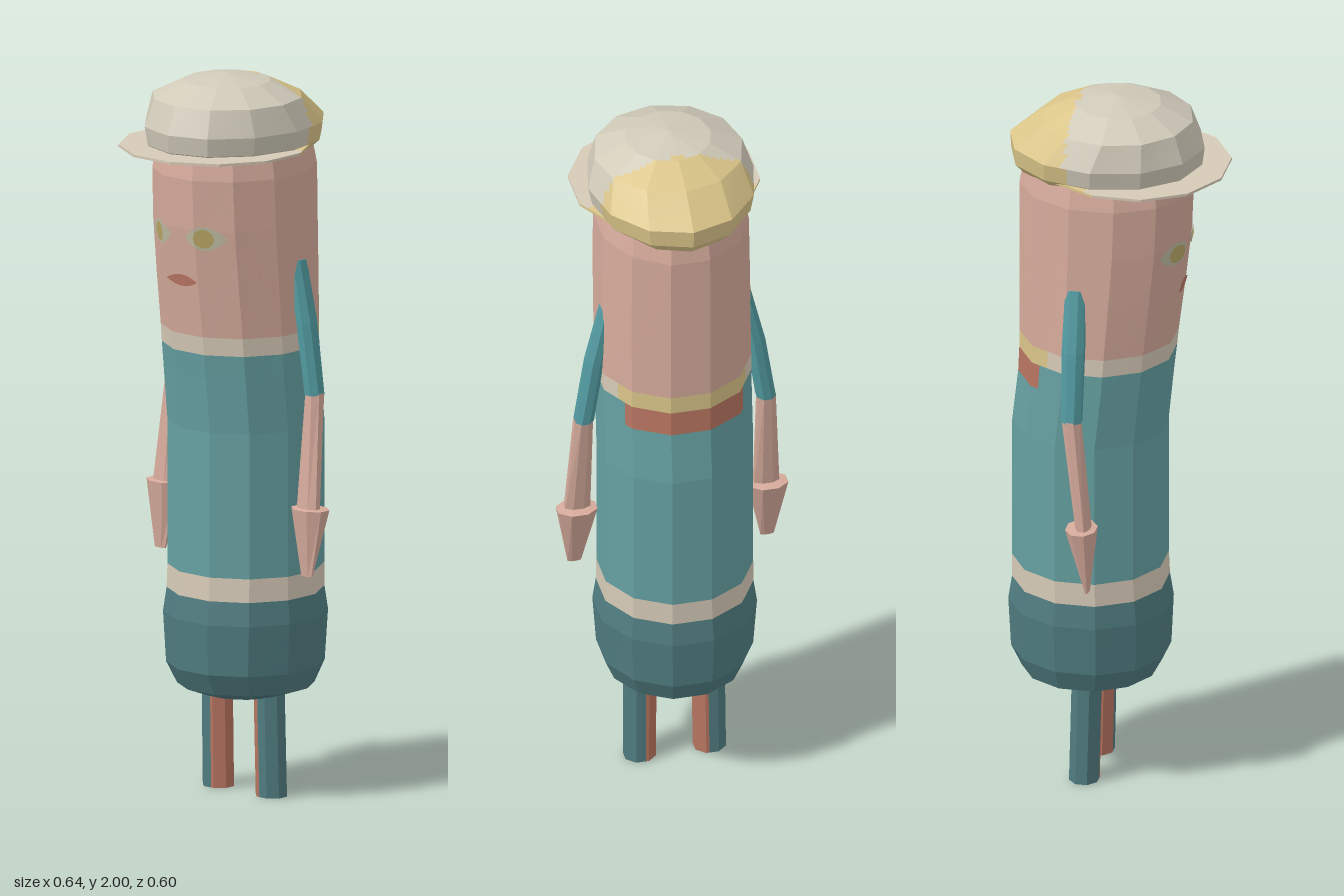
import * as THREE from 'three';

const mat = (name, color) => Object.assign(new THREE.MeshStandardMaterial({ color, side: THREE.DoubleSide }), { name });
const M = {
  skin: mat('skin', 0xd6ab9c),
  teal: mat('teal shirt', 0x66a0a2),
  sleeve: mat('sleeve teal', 0x529ba1),
  dark: mat('dark teal', 0x507c80),
  hat: mat('warm grey', 0xd0cab9),
  cream: mat('cream', 0xd6cab7),
  yellow: mat('straw yellow', 0xdac589),
  rust: mat('rust', 0xb87561),
  eye: mat('eye grey', 0xbfbca3),
  iris: mat('iris olive', 0xbba867),
};

function meshFrom(name, pos, material) {
  const g = new THREE.BufferGeometry();
  g.setAttribute('position', new THREE.Float32BufferAttribute(pos, 3));
  g.computeVertexNormals(); // unshared corners give flat facets
  const m = new THREE.Mesh(g, material);
  m.name = name;
  return m;
}

// Faceted loft through rings [y, zCentre, rx, rz, xCentre], listed bottom to top.
// Facets are cut into small pieces, each given the colour pick(x, y, z) returns.
function loft(name, rings, n, phase, pick, subU = 1, subV = 1) {
  const group = new THREE.Group();
  group.name = name;
  const buckets = {};
  const corner = ([y, zc, rx, rz, xc = 0], k) => {
    const a = ((k + phase) / n) * Math.PI * 2;
    return new THREE.Vector3(xc + rx * Math.sin(a), y, zc + rz * Math.cos(a));
  };
  for (let i = 0; i < rings.length - 1; i++) {
    for (let k = 0; k < n; k++) {
      const c = [corner(rings[i], k), corner(rings[i], k + 1), corner(rings[i + 1], k), corner(rings[i + 1], k + 1)];
      const at = (u, v) => c[0].clone().lerp(c[1], u).lerp(c[2].clone().lerp(c[3], u), v);
      for (let p = 0; p < subU; p++) {
        for (let q = 0; q < subV; q++) {
          const mid = at((p + 0.5) / subU, (q + 0.5) / subV);
          const key = pick(mid.x, mid.y, mid.z);
          const [A, B, C, D] = [[p, q], [p + 1, q], [p + 1, q + 1], [p, q + 1]].map(([u, v]) => at(u / subU, v / subV));
          const out = (buckets[key] ??= []);
          for (const tri of [[A, B, C], [A, C, D]]) {
            const area = tri[1].clone().sub(tri[0]).cross(tri[2].clone().sub(tri[0])).length();
            if (area > 1e-10) for (const w of tri) out.push(w.x, w.y, w.z);
          }
        }
      }
    }
  }
  for (const key in buckets) group.add(meshFrom(`${name} ${key}`, buckets[key], M[key]));
  return group;
}

// Body sections as [y, front z, back z, half width]
const K = Math.cos(Math.PI / 12);
const sections = [
  [0.275, -0.075, -0.076, 0.001], [0.275, 0.04, -0.19, 0.11], [0.3, 0.105, -0.255, 0.18],
  [0.36, 0.137, -0.283, 0.205], [0.5, 0.143, -0.29, 0.215], [0.565, 0.133, -0.28, 0.206],
  [0.63, 0.13, -0.28, 0.205], [1.03, 0.13, -0.28, 0.205], [1.18, 0.145, -0.263, 0.205],
  [1.25, 0.153, -0.26, 0.205], [1.3, 0.158, -0.26, 0.205], [1.45, 0.177, -0.26, 0.205],
  [1.6, 0.194, -0.26, 0.204], [1.74, 0.2, -0.26, 0.202], [1.8, 0.19, -0.25, 0.19],
];

function bodyColour(x, y, z) {
  if (y < 0.565) return 'dark';
  if (y < 0.63) return 'cream';
  if (y < 1.18) return 'teal';
  if (y < 1.25) return z < -0.19 ? 'rust' : 'teal';
  if (y < 1.3) return z < -0.15 ? 'yellow' : 'cream';
  return 'skin';
}

// Depth of the faceted face at (x, y)
function faceZ(x, y) {
  const i = sections.findIndex((s) => s[0] > y);
  const [a, b] = [sections[i - 1], sections[i]];
  const z = THREE.MathUtils.lerp(a[1], b[1], (y - a[0]) / (b[0] - a[0]));
  return z - Math.max(0, Math.abs(x) - 0.055) * 0.62;
}

// Thin patch that hugs the face, with half height h(t) for t from -1 to 1
function facePatch(name, cx, cy, w, h, material, lift) {
  const xs = Array.from({ length: 17 }, (_, i) => cx + w * (i / 8 - 1));
  for (const crease of [-0.055, 0.055]) if (Math.abs(crease - cx) < w) xs.push(crease);
  xs.sort((a, b) => a - b);
  const point = (x, s) => {
    const y = cy + s * h((x - cx) / w);
    return [x, y, faceZ(x, y) + lift];
  };
  const pos = [];
  for (let i = 0; i < xs.length - 1; i++) {
    const [a, b, c, d] = [point(xs[i], -1), point(xs[i + 1], -1), point(xs[i + 1], 1), point(xs[i], 1)];
    pos.push(...a, ...b, ...c, ...a, ...c, ...d);
  }
  return meshFrom(name, pos, material);
}

export function createModel() {
  const model = new THREE.Group();
  model.name = 'capped figure';

  // Head and body in one column
  const rings = sections.map(([y, f, b, w]) => [y, (f + b) / 2, w / K, (f - b) / 2 / K]);
  model.add(loft('body', rings, 12, 0.5, bodyColour, 4, 2));

  // Cap with a straw coloured back
  model.add(loft('cap', [
    [1.785, -0.035, 0, 0], [1.785, -0.035, 0.18, 0.235], [1.815, -0.03, 0.219, 0.264], [1.865, -0.028, 0.23, 0.269],
    [1.94, 0, 0.205, 0.208], [1.982, 0, 0.118, 0.12], [2, 0, 0, 0],
  ], 12, 0, (x, y, z) => (z < -0.105 ? 'yellow' : 'hat'), 6, 6));
  model.add(loft('brim', [
    [1.805, 0.05, 0, 0], [1.805, 0.05, 0.26, 0.26], [1.812, 0.05, 0.26, 0.26], [1.812, 0.05, 0, 0],
  ], 12, 0.5, (x, y, z) => (z < -0.03 ? 'yellow' : 'cream'), 4, 4));

  // Face
  const almond = (height) => (t) => height * (1 - t * t);
  const round = (radius) => (t) => radius * Math.sqrt(Math.max(0, 1 - t * t));
  for (const s of [-1, 1]) {
    model.add(facePatch('eye', s * 0.08, 1.58, 0.055, almond(0.033), M.eye, 0.004));
    model.add(facePatch('iris', s * 0.08, 1.58, 0.025, round(0.026), M.iris, 0.007));
  }
  model.add(facePatch('mouth', 0, 1.455, 0.055, almond(0.016), M.rust, 0.004));

  // Arms and legs on both sides
  for (const s of [-1, 1]) {
    const side = s > 0 ? 'left' : 'right';
    model.add(loft(`${side} sleeve`, [
      [1.135, -0.073, 0, 0, s * 0.253], [1.135, -0.073, 0.028, 0.03, s * 0.253], [1.33, -0.074, 0.027, 0.033, s * 0.224],
      [1.5, -0.075, 0.022, 0.03, s * 0.188], [1.5, -0.075, 0, 0, s * 0.188],
    ], 8, 0.5, () => 'sleeve'));
    model.add(loft(`${side} forearm`, [
      [0.82, -0.037, 0.038, 0.021, s * 0.263], [1.14, -0.073, 0.027, 0.027, s * 0.254],
    ], 8, 0.5, () => 'skin'));
    model.add(loft(`${side} hand`, [
      [0.64, -0.026, 0, 0, s * 0.268], [0.64, -0.026, 0.02, 0.006, s * 0.268],
      [0.825, -0.043, 0.059, 0.044, s * 0.265], [0.83, -0.043, 0, 0, s * 0.265],
    ], 8, 0.5, () => 'skin'));
    model.add(loft(`${side} leg`, [
      [0, -0.071, 0, 0, s * 0.097], [0, -0.071, 0.046, 0.042, s * 0.097],
      [0.3, -0.064, 0.046, 0.042, s * 0.095],
    ], 8, 0.5, (x) => (Math.abs(x) > 0.088 ? 'dark' : 'rust'), 4, 1));
  }
  return model;
}
